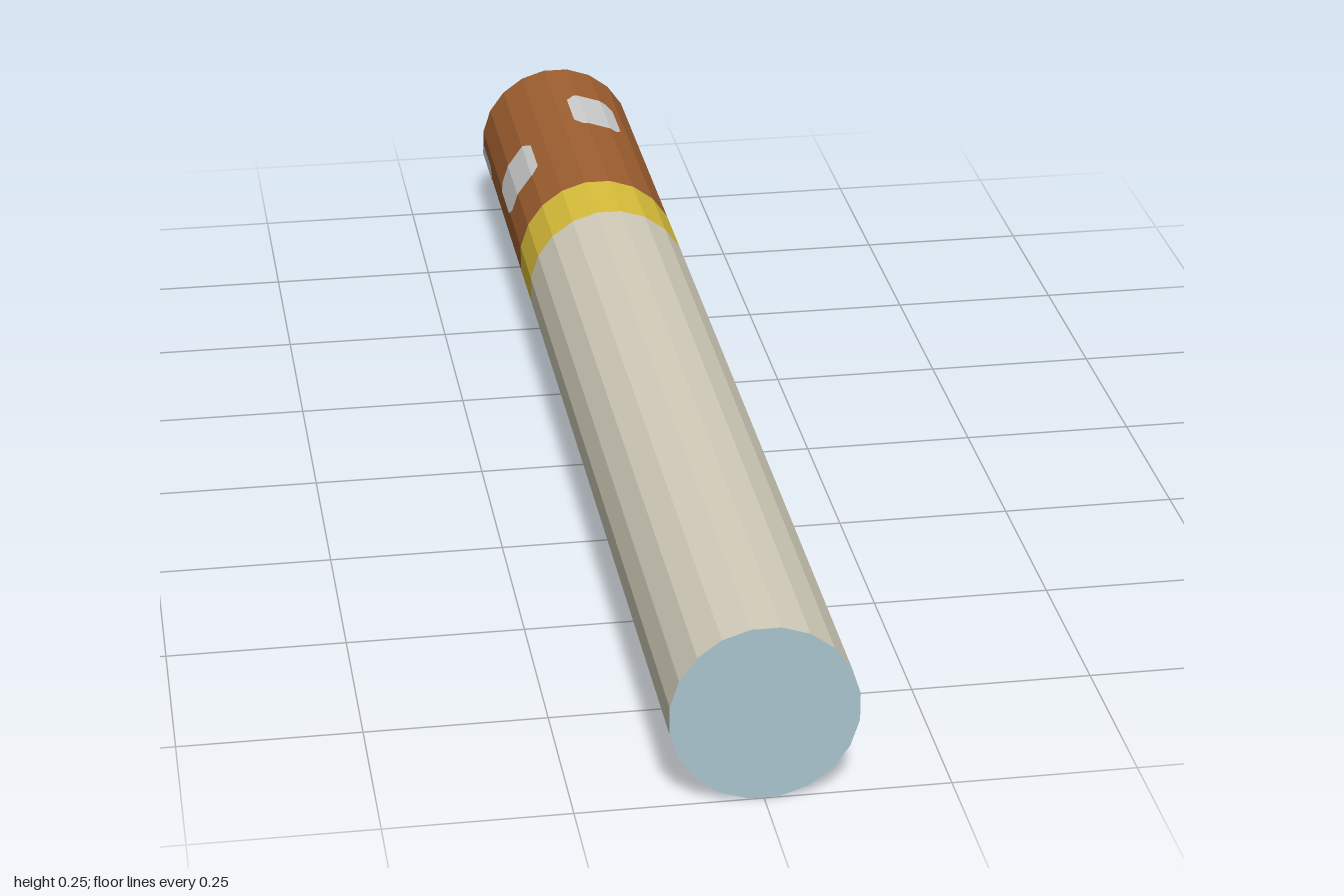
import * as THREE from 'three';

const SIDES = 20, APOTHEM = 0.125;
const STEP = (Math.PI * 2) / SIDES;
const RADIUS = APOTHEM / Math.cos(STEP / 2);
const rad = THREE.MathUtils.degToRad;

function material(name, color) {
  const m = new THREE.MeshStandardMaterial({ color });
  m.name = name;
  return m;
}

// Faceted normals without sharing vertices
function faceted(geometry) {
  const g = geometry.index ? geometry.toNonIndexed() : geometry;
  g.computeVertexNormals();
  return g;
}

// Open faceted tube along z
function tube(z0, z1) {
  const g = new THREE.CylinderGeometry(RADIUS, RADIUS, z1 - z0, SIDES, 1, true, STEP / 2);
  g.rotateX(Math.PI / 2);
  g.translate(0, 0, (z0 + z1) / 2);
  return faceted(g);
}

// Chamfered spot wrapped on the facets; angles in degrees, 0 = +x, 90 = up
function spot(a0, a1, z0, z1) {
  const angles = [a0, a0 + 6, a1 - 6, a1];
  for (let a = -351; a < 360; a += 18) if (a > a0 && a < a1) angles.push(a);
  angles.sort((a, b) => a - b);
  const positions = [], index = [];
  angles.forEach((deg, i) => {
    const a = rad(deg);
    const r = (APOTHEM + 0.001) / Math.cos(a - Math.round(a / STEP) * STEP);
    const edge = Math.min(deg - a0, a1 - deg, 6);
    const inset = 0.018 * (1 - edge / 6);
    for (const z of [z0 + inset, z1 - inset]) positions.push(r * Math.cos(a), r * Math.sin(a), z);
    if (i) {
      const k = 2 * i;
      index.push(k - 2, k, k - 1, k - 1, k, k + 1);
    }
  });
  const g = new THREE.BufferGeometry();
  g.setAttribute('position', new THREE.Float32BufferAttribute(positions, 3));
  g.setIndex(index);
  return faceted(g);
}

export function createModel() {
  const model = new THREE.Group();
  model.name = 'bandedRod';
  const body = new THREE.Group();
  body.position.y = APOTHEM;
  model.add(body);

  const paper = material('warm off-white', 0xd4cfbc);
  const gold = material('yellow', 0xdcc03a);
  const brown = material('brown', 0xa06030);
  const grey = material('light grey', 0xcfcfcf);
  const blue = material('pale blue', 0xa8c4ce);

  const add = (name, geometry, mat) => {
    const mesh = new THREE.Mesh(geometry, mat);
    mesh.name = name;
    body.add(mesh);
    return mesh;
  };

  // Shaft, band and brown end
  add('shaft', tube(-0.375, 1), paper);
  add('band', tube(-0.5, -0.375), gold);
  add('tip', tube(-1, -0.5), brown);

  // End caps
  const disc = new THREE.CircleGeometry(RADIUS, SIDES, STEP / 2);
  add('frontCap', disc, blue).position.z = 1;
  const back = add('backCap', disc, blue);
  back.position.z = -1;
  back.rotation.y = Math.PI;

  // Pale spots: start angle, end angle, z range
  const spots = [
    [52, 90, -0.875, -0.75],
    [-52, -7, -0.75, -0.625],
    [128, 172, -0.75, -0.625],
    [-90, -50, -0.625, -0.5],
    [-135, -95, -0.875, -0.75],
    [180, 225, -1, -0.875],
  ];
  spots.forEach((s, i) => add(`spot${i + 1}`, spot(...s), grey));

  return model;
}
